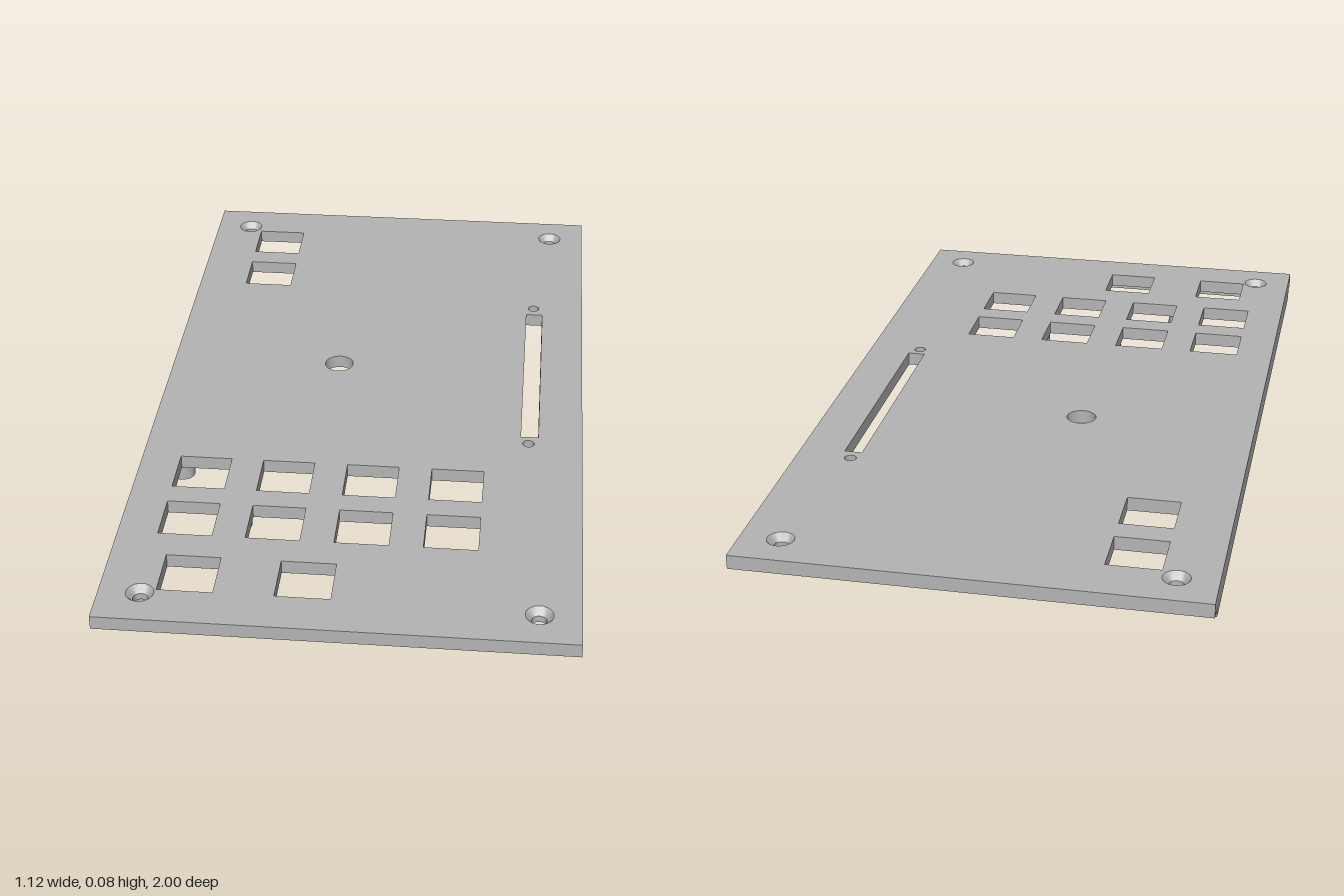
import * as THREE from 'three';
import { toCreasedNormals } from 'three/addons/utils/BufferGeometryUtils.js';

const grey = new THREE.MeshStandardMaterial({ color: 0xb4b4b4 });
grey.name = 'grey plastic';

// Outline helpers, drawn in plan: shape x = x, shape y = z
function rect(x0, x1, z0, z1, Type = THREE.Path) {
  const p = new Type();
  p.moveTo(x0, z0);
  p.lineTo(x1, z0);
  p.lineTo(x1, z1);
  p.lineTo(x0, z1);
  p.closePath();
  return p;
}

function circle(x, z, r, Type = THREE.Path) {
  const p = new Type();
  p.absarc(x, z, r, 0, Math.PI * 2);
  return p;
}

// Extrudes a plan outline between two heights
function slab(shape, bottom, top) {
  const g = new THREE.ExtrudeGeometry(shape, { depth: top - bottom, bevelEnabled: false, curveSegments: 12 });
  g.rotateX(Math.PI / 2);
  g.translate(0, top, 0);
  return toCreasedNormals(g, 0.6);
}

export function createModel() {
  const model = new THREE.Group();
  model.name = 'panel';
  const add = (name, geometry) => {
    const mesh = new THREE.Mesh(geometry, grey);
    mesh.name = name;
    model.add(mesh);
    return mesh;
  };

  const left = -0.558, right = 0.558, top = 0.08, under = 0.045;
  const plate = rect(left, right, -1, 1, THREE.Shape);

  // Square button openings
  const size = 0.131;
  const buttons = [[-0.424, -0.875], [-0.424, -0.68], [-0.424, 0.758], [-0.15, 0.758]];
  for (const z of [0.35, 0.544]) {
    for (const x of [-0.46, -0.248, -0.034, 0.18]) buttons.push([x, z]);
  }
  for (const [x, z] of buttons) plate.holes.push(rect(x, x + size, z, z + size));

  // Slider slot with its two screw holes, and the round opening
  plate.holes.push(rect(0.4, 0.445, -0.44, 0.185));
  plate.holes.push(circle(0.42, -0.475, 0.015), circle(0.42, 0.215, 0.015));
  plate.holes.push(circle(-0.105, -0.13, 0.038));

  // Countersunk corner screw holes
  const profile = [[0.033, top], [0.018, 0.062], [0.018, under], [0.033, under]]
    .map(([r, y]) => new THREE.Vector2(r, y));
  const sink = toCreasedNormals(new THREE.LatheGeometry(profile, 24), 0.6);
  for (const x of [-0.46, 0.46]) {
    for (const z of [-0.903, 0.903]) {
      plate.holes.push(circle(x, z, 0.033));
      add('screwCountersink', sink).position.set(x, 0, z);
    }
  }
  add('facePlate', slab(plate, under, top));

  // Thin rim under the plate, flush on the -x side
  const rim = rect(left, 0.513, -0.955, 0.955, THREE.Shape);
  rim.holes.push(rect(left + 0.035, 0.488, -0.93, 0.93));
  add('rim', slab(rim, 0.021, under));
  add('rimLip', slab(rect(left, left + 0.035, -0.94, 0.94, THREE.Shape), 0.018, 0.021));

  // Hollow mounting posts
  const posts = [
    [-0.265, -0.895], [-0.465, -0.812], [-0.465, -0.61], [-0.465, -0.5], [-0.25, -0.5],
    [0.352, 0.31], [-0.465, 0.31], [0.138, 0.517], [-0.075, 0.517], [-0.287, 0.517],
    [-0.25, 0.72], [-0.19, 0.822], [-0.465, 0.822], [-0.25, 0.9], [0.352, 0.9],
  ];
  const ring = circle(0, 0, 0.031, THREE.Shape);
  ring.holes.push(circle(0, 0, 0.014));
  const post = slab(ring, 0, under);
  for (const [x, z] of posts) add('mountingPost', post).position.set(x, 0, z);

  return model;
}
